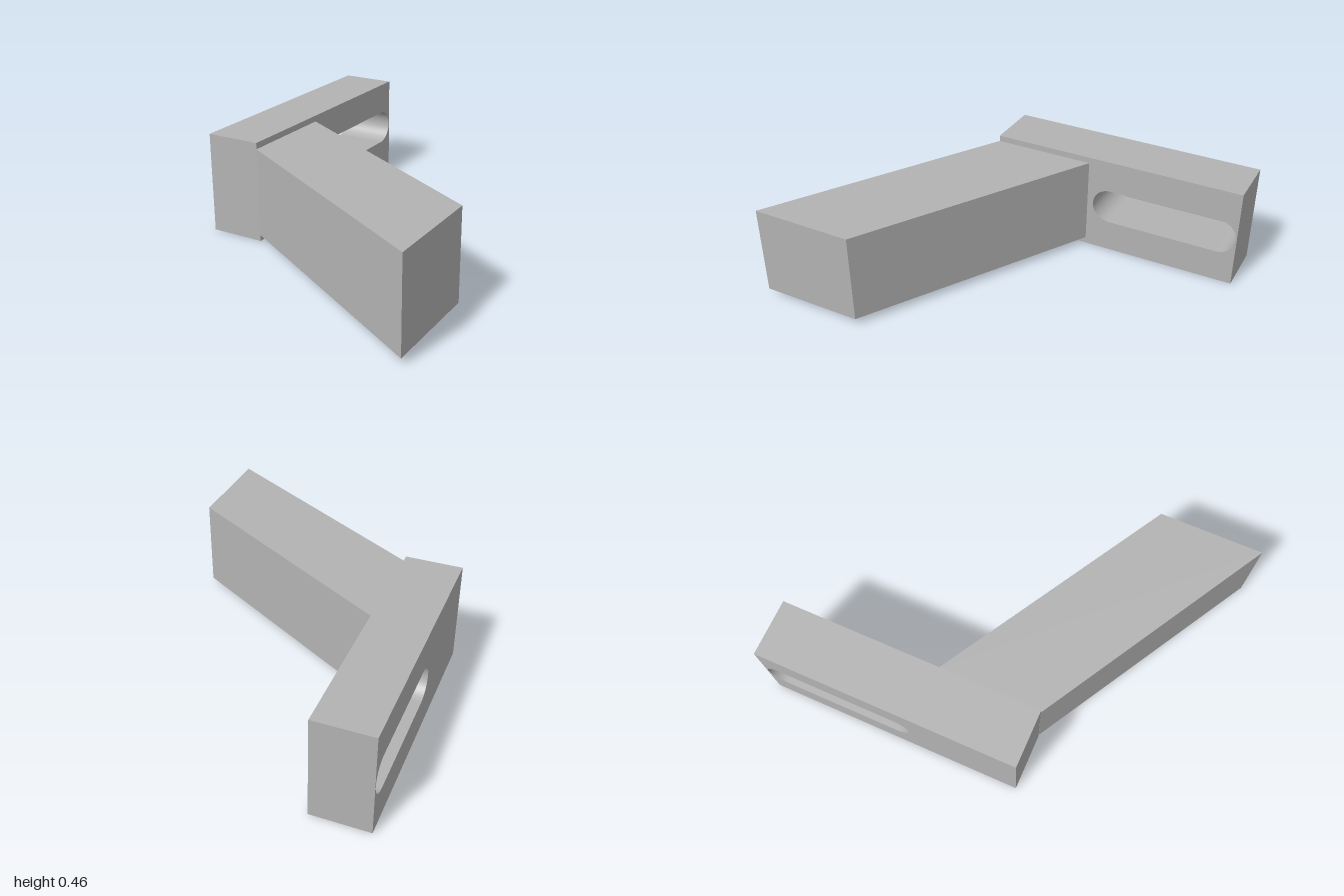
import * as THREE from 'three';

export function createModel() {
  const model = new THREE.Group();
  model.name = 'slottedBracket';
  const grey = new THREE.MeshStandardMaterial({ color: 0xb3b3b3 });
  grey.name = 'grey';

  const tilt = Math.PI / 6;
  const length = 1.177, height = 0.46, depth = 0.254;

  // Upright plate with a rounded slot reaching almost to its left end
  const outline = new THREE.Shape();
  outline.moveTo(-length / 2, -height / 2);
  outline.lineTo(length / 2, -height / 2);
  outline.lineTo(length / 2, height / 2);
  outline.lineTo(-length / 2, height / 2);
  outline.closePath();

  const r = 0.0815, slotStart = -0.097, slotEnd = 0.584;
  const slot = new THREE.Path();
  slot.absarc(slotEnd - r, 0, r, -Math.PI / 2, Math.PI / 2, false);
  slot.absarc(slotStart + r, 0, r, Math.PI / 2, Math.PI * 1.5, false);
  slot.closePath();
  outline.holes.push(slot);

  const plateGeometry = new THREE.ExtrudeGeometry(outline, { depth, bevelEnabled: false, curveSegments: 16 });
  plateGeometry.translate(0, 0, -depth / 2);
  const plate = new THREE.Mesh(plateGeometry, grey);
  plate.name = 'slottedPlate';
  plate.rotation.y = tilt;
  plate.position.set(0, height / 2, -0.596);
  model.add(plate);

  // Square arm, both ends cut parallel to the plate
  const left = -0.447, right = -0.045, front = 1, back = -0.192;
  const skew = (right - left) * Math.tan(tilt);
  const footprint = new THREE.Shape([
    new THREE.Vector2(left, -front),
    new THREE.Vector2(right, -front + skew),
    new THREE.Vector2(right, -back + skew),
    new THREE.Vector2(left, -back),
  ]);
  const armGeometry = new THREE.ExtrudeGeometry(footprint, { depth: 0.402, bevelEnabled: false });
  armGeometry.rotateX(-Math.PI / 2);
  const arm = new THREE.Mesh(armGeometry, grey);
  arm.name = 'arm';
  arm.position.y = 0.03;
  model.add(arm);

  return model;
}
